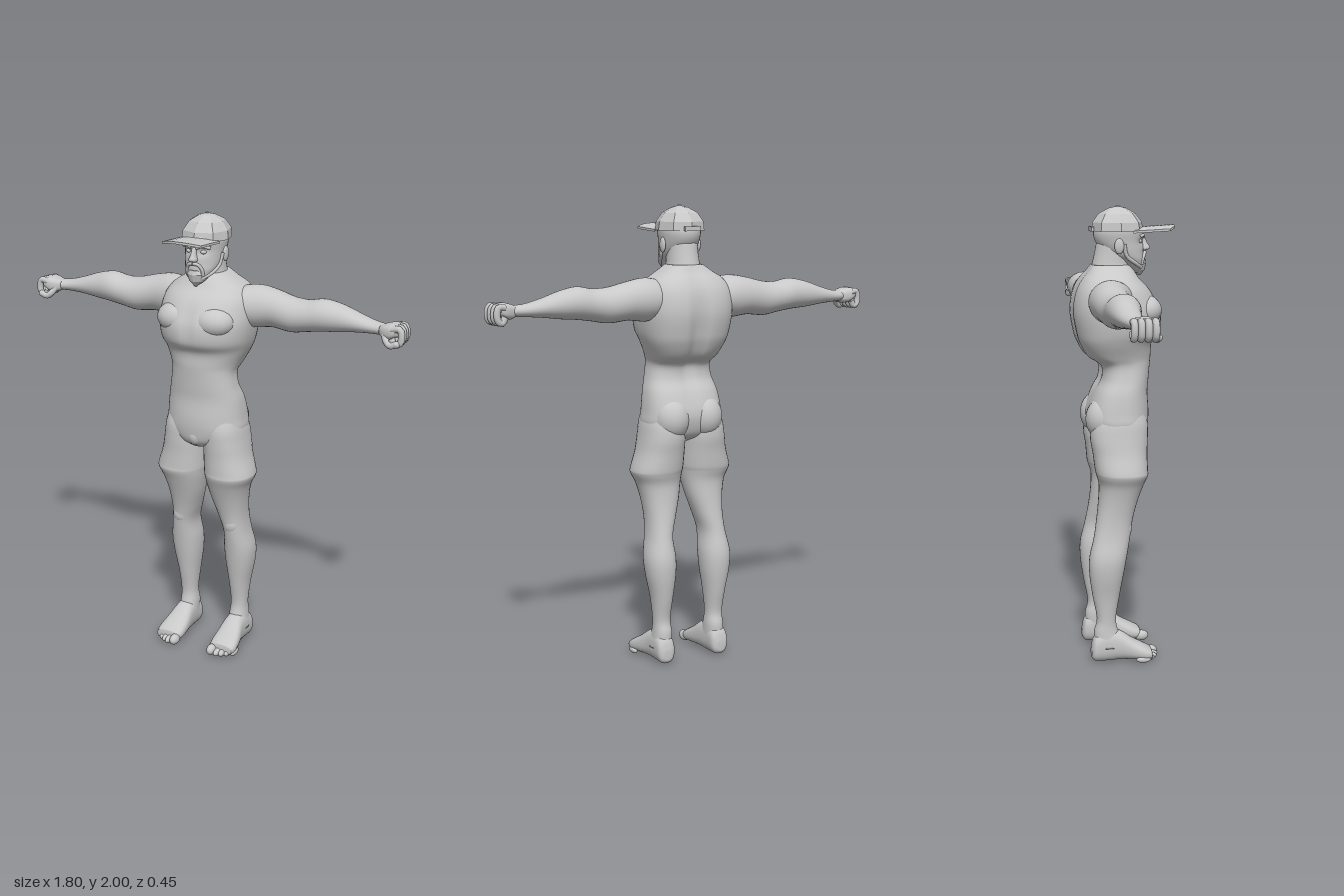
import * as THREE from 'three';

const clay = new THREE.MeshStandardMaterial({ color: 0xc8c8c8 });
clay.name = 'light grey';

// Places a section point (a, b) at position t along the loft axis.
const AXES = {
  y: (t, a, b) => [a, t, b],
  x: (t, a, b) => [t, b, a],
  z: (t, a, b) => [b, a, t],
};

// Closed loft through rows [t, aMin, aMax, bMin, bMax] with superelliptic sections.
// pHi / pLo: squareness of the +b / -b half. rule(v) may move each vertex.
function loft(axis, rows, { segs = 32, steps = 5, pHi = 2, pLo = 2, rule } = {}) {
  const at = (i, k) => rows[Math.min(rows.length - 1, Math.max(0, i))][k];
  const pos = [], idx = [], v = new THREE.Vector3();
  const put = (t, a, b) => {
    v.set(...AXES[axis](t, a, b));
    if (rule) rule(v);
    pos.push(v.x, v.y, v.z);
  };
  const n = (rows.length - 1) * steps;
  for (let j = 0; j <= n; j++) {
    const i = Math.min(rows.length - 2, Math.floor(j / steps)), u = j / steps - i;
    const r = [0, 1, 2, 3, 4].map((k) => {
      const p0 = at(i - 1, k), p1 = at(i, k), p2 = at(i + 1, k), p3 = at(i + 2, k);
      return p1 + 0.5 * u * (p2 - p0 + u * (2 * p0 - 5 * p1 + 4 * p2 - p3 + u * (3 * (p1 - p2) + p3 - p0)));
    });
    for (let s = 0; s < segs; s++) {
      const q = (s / segs) * Math.PI * 2, c = Math.cos(q), d = Math.sin(q);
      const e = 2 / (d >= 0 ? pHi : pLo);
      const ca = Math.sign(c) * Math.abs(c) ** e, sb = Math.sign(d) * Math.abs(d) ** e;
      put(r[0], (r[1] + r[2]) / 2 + ca * (r[2] - r[1]) / 2, (r[3] + r[4]) / 2 + sb * (r[4] - r[3]) / 2);
      if (j < n) {
        const A = j * segs + s, B = j * segs + (s + 1) % segs;
        idx.push(A, A + segs, B, B, A + segs, B + segs);
      }
    }
  }
  // End caps
  const first = rows[0], last = rows[rows.length - 1], base = (n + 1) * segs;
  for (const r of [first, last]) put(r[0], (r[1] + r[2]) / 2, (r[3] + r[4]) / 2);
  for (let s = 0; s < segs; s++) {
    const m = (s + 1) % segs;
    idx.push(base, s, m, base + 1, n * segs + m, n * segs + s);
  }
  const g = new THREE.BufferGeometry();
  g.setAttribute('position', new THREE.Float32BufferAttribute(pos, 3));
  g.setIndex(idx);
  g.computeVertexNormals();
  return g;
}

function faceted(g) {
  const f = g.index ? g.toNonIndexed() : g;
  f.computeVertexNormals();
  return f;
}

function ball(x, y, z, rx, ry, rz) {
  return new THREE.SphereGeometry(1, 20, 14).scale(rx, ry, rz).translate(x, y, z);
}

function tube(points, radius) {
  const curve = new THREE.CatmullRomCurve3(points.map((p) => new THREE.Vector3(...p)));
  return new THREE.TubeGeometry(curve, 14, radius, 10);
}

function mirrored(g) {
  const m = g.clone().scale(-1, 1, 1), a = m.index.array;
  for (let i = 0; i < a.length; i += 3) [a[i], a[i + 1]] = [a[i + 1], a[i]];
  return m;
}

const bump = (d, w) => Math.exp(-((d / w) ** 2));

export function createModel() {
  const model = new THREE.Group();
  model.name = 'figure';
  const add = (name, g) => {
    const mesh = new THREE.Mesh(g, clay);
    mesh.name = name;
    model.add(mesh);
  };
  const pair = (name, g) => {
    add(name + 'Left', g);
    add(name + 'Right', mirrored(g));
  };

  // Torso, with grooves along the spine and breastbone
  const torso = [
    [0.98, 0.05, -0.07, 0.06], [1.01, 0.13, -0.13, 0.095], [1.06, 0.18, -0.155, 0.107],
    [1.12, 0.178, -0.16, 0.11], [1.2, 0.168, -0.135, 0.105], [1.26, 0.152, -0.105, 0.11],
    [1.32, 0.143, -0.108, 0.116], [1.36, 0.155, -0.165, 0.12], [1.42, 0.183, -0.2, 0.125],
    [1.47, 0.2, -0.215, 0.158], [1.54, 0.21, -0.226, 0.162], [1.6, 0.208, -0.222, 0.138],
    [1.65, 0.195, -0.208, 0.108], [1.69, 0.165, -0.185, 0.07], [1.72, 0.12, -0.16, 0.05],
    [1.75, 0.075, -0.14, 0.03],
  ].map(([y, w, b, f]) => [y, -w, w, b, f]);
  add('torso', loft('y', torso, {
    segs: 56, pHi: 2.1, pLo: 2.8,
    rule: (v) => {
      if (v.z < -0.03) v.z += 0.028 * bump(v.x, 0.028) * bump(v.y - 1.46, 0.2);
      if (v.z > 0.03) v.z -= 0.012 * bump(v.x, 0.02) * bump(v.y - 1.55, 0.08);
    },
  }));
  pair('pectoral', ball(0.088, 1.56, 0.075, 0.092, 0.068, 0.078));
  pair('glute', ball(0.08, 1.09, -0.095, 0.082, 0.095, 0.083));
  add('groin', ball(0, 1.035, 0.07, 0.04, 0.045, 0.037));

  // Legs, with flared short hems at mid thigh
  pair('leg', loft('y', [
    [0.07, 0.09, 0.18, -0.15, -0.02], [0.14, 0.09, 0.172, -0.152, -0.045],
    [0.2, 0.095, 0.17, -0.14, -0.055], [0.3, 0.086, 0.18, -0.158, -0.04],
    [0.4, 0.073, 0.199, -0.172, -0.022], [0.48, 0.07, 0.204, -0.172, -0.008],
    [0.57, 0.077, 0.188, -0.152, 0.008], [0.65, 0.055, 0.184, -0.138, 0.022],
    [0.73, 0.03, 0.192, -0.128, 0.045], [0.8, 0.015, 0.208, -0.125, 0.07],
    [0.845, 0.008, 0.229, -0.136, 0.088], [0.87, 0.004, 0.229, -0.142, 0.088],
    [0.94, 0.002, 0.207, -0.15, 0.088], [1.01, 0.002, 0.194, -0.16, 0.092],
    [1.08, 0.005, 0.182, -0.15, 0.09], [1.16, 0.02, 0.155, -0.1, 0.06],
  ], { pHi: 2.2, pLo: 2.2 }));
  pair('kneecap', ball(0.13, 0.61, -0.01, 0.036, 0.045, 0.026));

  // Feet and toes
  pair('foot', loft('z', [
    [-0.166, 0.025, 0.07, 0.115, 0.155], [-0.15, 0.008, 0.12, 0.095, 0.175],
    [-0.1, 0.005, 0.15, 0.09, 0.178], [-0.04, 0.008, 0.14, 0.084, 0.182],
    [0.02, 0.008, 0.1, 0.077, 0.196], [0.07, 0.005, 0.072, 0.076, 0.203],
    [0.1, 0.01, 0.055, 0.085, 0.195],
  ], { pHi: 2.4, pLo: 2.4 }));
  for (let i = 0; i < 5; i++) {
    const r = i === 0 ? 0.021 : 0.0155 - i * 0.0008;
    const x = i === 0 ? 0.098 : 0.106 + i * 0.0215;
    pair('toe' + (i + 1), ball(x, r + 0.004, 0.105 - i * i * 0.0028, r, r * 1.15, 0.033));
  }

  // Arms
  pair('arm', loft('x', [
    [0.1, -0.15, 0.02, 1.54, 1.68], [0.16, -0.175, 0.02, 1.52, 1.695],
    [0.22, -0.182, 0.0, 1.517, 1.7], [0.29, -0.178, -0.015, 1.525, 1.688],
    [0.38, -0.168, -0.012, 1.517, 1.667], [0.45, -0.162, -0.014, 1.528, 1.664],
    [0.52, -0.163, -0.018, 1.538, 1.675], [0.6, -0.158, -0.034, 1.545, 1.66],
    [0.68, -0.145, -0.045, 1.555, 1.633], [0.75, -0.127, -0.05, 1.56, 1.614],
    [0.81, -0.112, -0.042, 1.562, 1.608],
  ]));

  // Fists: palm, curled fingers and thumb
  pair('palm', loft('x', [
    [0.785, -0.105, -0.045, 1.565, 1.605], [0.81, -0.115, -0.03, 1.553, 1.615],
    [0.84, -0.125, -0.022, 1.555, 1.622], [0.866, -0.122, -0.025, 1.57, 1.618],
  ], { pHi: 2.8, pLo: 2.8 }));
  for (let i = 0; i < 4; i++) {
    const z = -0.034 - i * 0.027, k = i * 0.003;
    pair('finger' + (i + 1), tube([
      [0.845, 1.603, z], [0.88 - k, 1.605, z], [0.889 - k, 1.575, z],
      [0.882 - k, 1.547, z], [0.858, 1.541, z], [0.845, 1.565, z],
    ], 0.0142));
  }
  pair('thumb', tube([[0.81, 1.575, -0.045], [0.825, 1.55, -0.03], [0.845, 1.537, -0.024], [0.872, 1.545, -0.022]], 0.014));
  pair('thumbTip', ball(0.872, 1.545, -0.022, 0.0142, 0.0142, 0.0142));

  // Neck and head
  add('neck', loft('y', [
    [1.64, -0.11, 0.11, -0.16, 0.075], [1.69, -0.092, 0.092, -0.155, 0.06],
    [1.74, -0.073, 0.073, -0.138, 0.035], [1.79, -0.067, 0.067, -0.125, 0.03],
    [1.84, -0.065, 0.065, -0.115, 0.03],
  ]));
  add('head', loft('y', [
    [1.715, -0.022, 0.022, 0.045, 0.08], [1.735, -0.042, 0.042, 0.015, 0.09],
    [1.77, -0.065, 0.065, -0.03, 0.092], [1.8, -0.077, 0.077, -0.08, 0.09],
    [1.85, -0.084, 0.084, -0.12, 0.089], [1.9, -0.088, 0.088, -0.125, 0.088],
    [1.95, -0.07, 0.07, -0.09, 0.06],
  ], {
    rule: (v) => { // eye sockets
      if (v.z > 0) v.z -= 0.012 * bump(Math.abs(v.x) - 0.035, 0.02) * bump(v.y - 1.85, 0.016);
    },
  }));
  pair('eye', ball(0.034, 1.85, 0.069, 0.014, 0.009, 0.01));
  pair('brow', tube([[0.01, 1.868, 0.09], [0.035, 1.875, 0.083], [0.064, 1.868, 0.062]], 0.007));
  pair('ear', ball(0.086, 1.832, -0.03, 0.01, 0.033, 0.021));
  add('nose', loft('y', [
    [1.808, -0.012, 0.012, 0.08, 0.098], [1.818, -0.019, 0.019, 0.07, 0.121],
    [1.84, -0.012, 0.012, 0.07, 0.109], [1.87, -0.01, 0.01, 0.07, 0.095],
  ], { segs: 12, steps: 3 }));

  // Beard
  add('goatee', faceted(loft('y', [
    [1.702, -0.006, 0.006, 0.066, 0.078], [1.725, -0.03, 0.03, 0.045, 0.096],
    [1.755, -0.04, 0.04, 0.035, 0.104], [1.773, -0.025, 0.025, 0.045, 0.099],
  ], { segs: 12, steps: 1 })));
  pair('moustache', tube([[0, 1.802, 0.096], [0.022, 1.798, 0.092], [0.036, 1.775, 0.082], [0.036, 1.75, 0.076]], 0.0075));
  pair('jawBeard', tube([[0.03, 1.738, 0.075], [0.058, 1.758, 0.045], [0.075, 1.79, 0.005], [0.083, 1.84, -0.008]], 0.0085));

  // Cap: panelled crown, button, rear strap and curved brim
  add('capCrown', faceted(loft('y', [
    [1.893, -0.102, 0.102, -0.135, 0.09], [1.93, -0.098, 0.098, -0.132, 0.084],
    [1.967, -0.074, 0.074, -0.105, 0.055], [1.99, -0.035, 0.035, -0.06, 0.014],
    [1.997, -0.006, 0.006, -0.028, -0.016],
  ], { segs: 8, steps: 1, pHi: 2.3, pLo: 2.3 })));
  add('capButton', new THREE.CylinderGeometry(0.008, 0.01, 0.006, 8).translate(0, 1.997, -0.022));
  add('capStrap', new THREE.BoxGeometry(0.075, 0.02, 0.012).translate(0, 1.902, -0.136));

  const brim = new THREE.BoxGeometry(0.184, 0.01, 1, 8, 1, 5);
  const p = brim.attributes.position;
  for (let i = 0; i < p.count; i++) {
    const u = p.getX(i) / 0.092, w = p.getZ(i) + 0.5;
    const back = 0.085 - 0.055 * u * u, front = 0.228 - 0.038 * u * u;
    p.setZ(i, back + (front - back) * w);
    p.setY(i, p.getY(i) + 1.905 + 0.008 * w - 0.014 * u * u);
  }
  add('capBrim', faceted(brim));

  return model;
}
